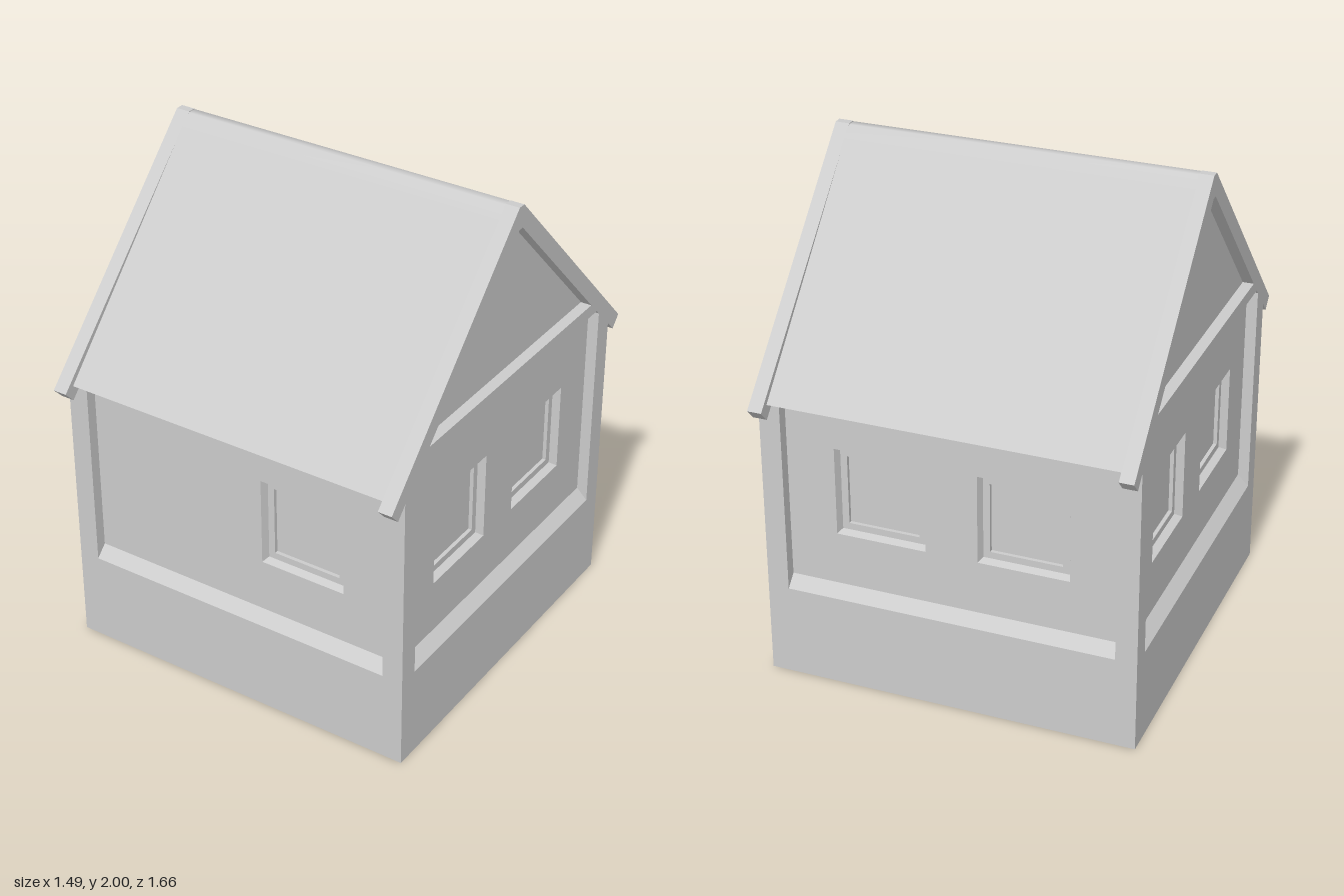
import * as THREE from 'three';

const HALF = 0.745;     // outer wall distance from the centre
const PANEL = 0.7;      // recessed wall plane
const SILL = 0.375;     // top of the base
const material = new THREE.MeshStandardMaterial({ color: 0xcccccc, side: THREE.DoubleSide });
const flat = new THREE.MeshStandardMaterial({ color: 0xcccccc, side: THREE.DoubleSide, flatShading: true });

function add(parent, name, geometry, mat = material) {
  const mesh = new THREE.Mesh(geometry, mat);
  mesh.name = name;
  parent.add(mesh);
  return mesh;
}

// Strip of constant width along x that follows a [z, y] profile
function strip(halfWidth, profile) {
  const geometry = new THREE.PlaneGeometry(halfWidth * 2, 1, 1, profile.length - 1);
  const pos = geometry.attributes.position;
  profile.forEach(([z, y], i) => {
    for (let k = 0; k < 2; k++) pos.setXYZ(i * 2 + k, k ? halfWidth : -halfWidth, y, z);
  });
  geometry.computeVertexNormals();
  return geometry;
}

function polygon(points, Type = THREE.Shape) {
  return new Type(points.map(([x, y]) => new THREE.Vector2(x, y)));
}

// Square stepped window: reveal, frame and pane, as a four-sided lathe
function windowGeometry() {
  const steps = [[0.181, 0], [0.17, -0.03], [0.143, -0.03], [0.143, -0.045], [0, -0.045]];
  const profile = steps.map(([r, d]) => new THREE.Vector2(r * Math.SQRT2, d));
  return new THREE.LatheGeometry(profile, 4, Math.PI / 4).rotateX(Math.PI / 2);
}

// One side of the house, facing +z before it is turned
function buildSide(name, angle, windows, isGable) {
  const side = new THREE.Group();
  side.name = name;
  side.rotation.y = angle;
  add(side, 'base', strip(HALF, [[HALF, SILL], [HALF, 0]]));
  add(side, 'slopedSill', strip(0.67, [[PANEL, 0.42], [HALF, SILL]]));

  // Recessed wall with window openings
  const outline = [[-PANEL, SILL], [PANEL, SILL], [PANEL, 1.18]];
  if (isGable) outline.push([PANEL, 1.24], [0, 1.95], [-PANEL, 1.24]);
  outline.push([-PANEL, 1.18]);
  const wall = polygon(outline);
  const r = 0.181, cy = 0.817;
  for (const x of windows) {
    wall.holes.push(polygon([[x - r, cy - r], [x - r, cy + r], [x + r, cy + r], [x + r, cy - r]], THREE.Path));
    add(side, 'window', windowGeometry(), flat).position.set(x, cy, PANEL);
  }
  add(side, 'wall', new THREE.ShapeGeometry(wall)).position.z = PANEL;

  if (isGable) {
    // Posts, tie beam and bargeboards in one frame
    const half = [[0.66, SILL], [HALF, SILL], [HALF, 1.167], [0.79, 1.12], [0.832, 1.165], [0.016, 2]];
    const mirror = half.map(([x, y]) => [-x, y]).reverse();
    const frame = polygon([...half, ...mirror, [-0.66, 1.25], [-0.64, 1.27], [0.64, 1.27], [0.66, 1.25]]);
    frame.holes.push(polygon([[-0.59, 1.32], [-0.012, 1.91], [0.012, 1.91], [0.59, 1.32]], THREE.Path));
    const geometry = new THREE.ExtrudeGeometry(frame, { depth: 0.057, bevelEnabled: false });
    add(side, 'gableFrame', geometry).position.z = HALF - 0.057;
  } else {
    for (const s of [-1, 1]) {
      const post = add(side, 'cornerPost', new THREE.BoxGeometry(0.085, 1.18 - SILL, 0.055));
      post.position.set(s * (HALF - 0.0425), (1.18 + SILL) / 2, HALF - 0.0275);
    }
    // Roof slope and its underside
    add(side, 'roofSlope', strip(0.69, [[0.06, 1.957], [0.787, 1.18]]));
    add(side, 'eaveSoffit', strip(0.69, [[0.787, 1.18], [PANEL, 1.18]]));
  }
  return side;
}

export function createModel() {
  const house = new THREE.Group();
  house.name = 'house';
  const pair = [-0.285, 0.285];
  house.add(
    buildSide('frontSide', 0, [0.28], false),
    buildSide('leftSide', Math.PI / 2, pair, true),
    buildSide('backSide', Math.PI, pair, false),
    buildSide('rightSide', -Math.PI / 2, pair, true)
  );
  // Rounded ridge between the two slopes
  add(house, 'ridge', strip(0.69, [[-0.06, 1.957], [-0.018, 1.997], [0.018, 1.997], [0.06, 1.957]]));
  return house;
}
